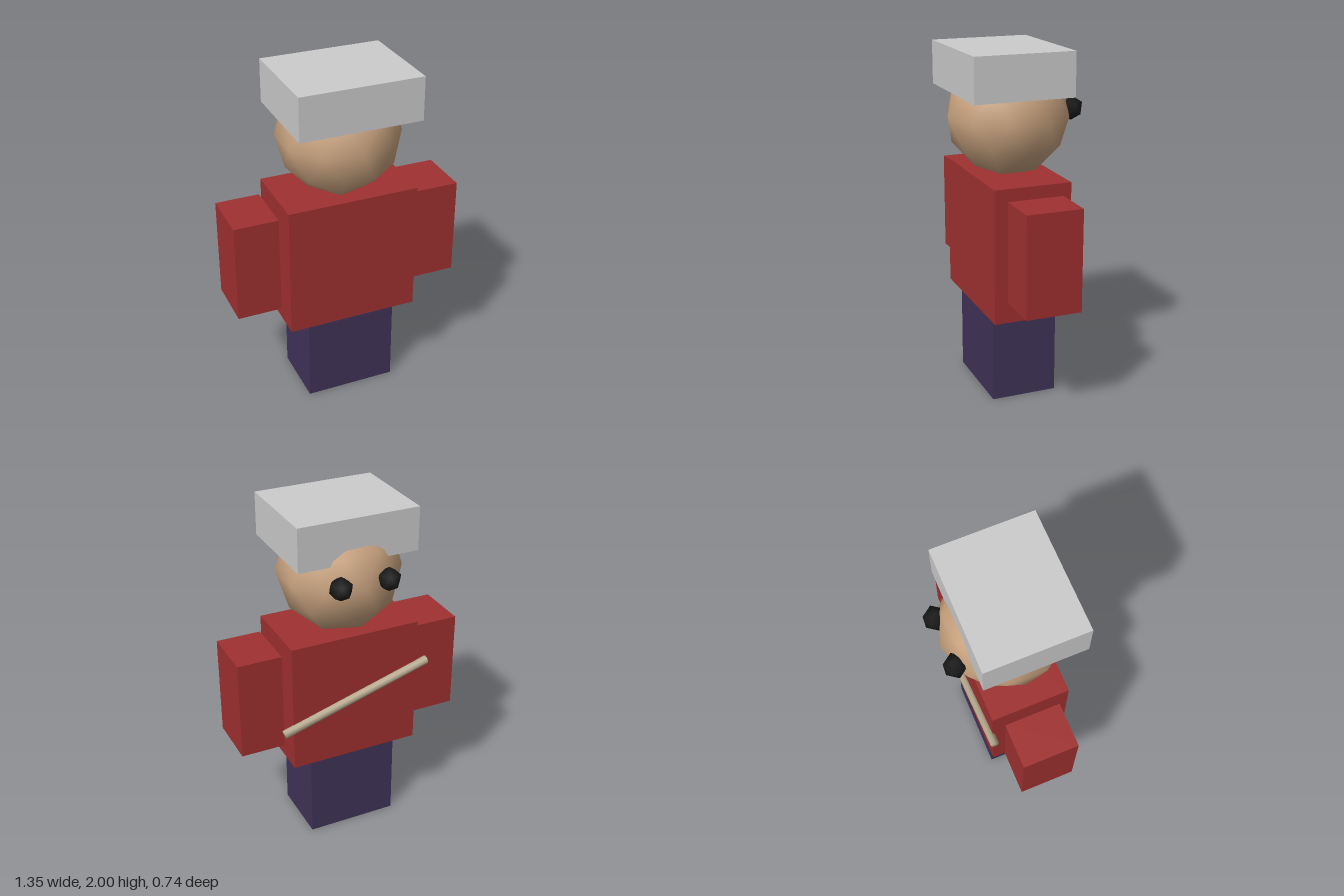
import * as THREE from 'three';
import { mergeVertices } from 'three/addons/utils/BufferGeometryUtils.js';

const material = (color) => new THREE.MeshStandardMaterial({ color });

// Ball made of triangles, standing on one corner, with smooth normals
function ball(radius, detail) {
  const g = new THREE.IcosahedronGeometry(radius, detail);
  g.rotateX(-Math.atan((1 + Math.sqrt(5)) / 2));
  g.rotateY(Math.PI / 2);
  return smooth(g);
}

// Share corners so that shading runs across every edge
function smooth(geometry) {
  geometry.deleteAttribute('uv');
  geometry.deleteAttribute('normal');
  const merged = mergeVertices(geometry, 1e-4);
  merged.computeVertexNormals();
  return merged;
}

export function createModel() {
  const model = new THREE.Group();
  model.name = 'blockFigure';

  const red = material(0xa03030);
  const navy = material(0x403359);
  const skin = material(0xcaa480);
  const black = material(0x181818);
  const wood = material(0xb8aa90);
  const grey = material(0xcccccc);

  const add = (name, geometry, mat, x, y, z) => {
    const mesh = new THREE.Mesh(geometry, mat);
    mesh.name = name;
    mesh.position.set(x, y, z);
    model.add(mesh);
    return mesh;
  };

  // Box given by its centre x, width and y and z ranges
  const addBox = (name, mat, x, width, [y0, y1], [z0, z1]) =>
    add(name, new THREE.BoxGeometry(width, y1 - y0, z1 - z0), mat, x, (y0 + y1) / 2, (z0 + z1) / 2);

  // Body
  addBox('legs', navy, 0, 0.536, [0, 0.52], [-0.177, 0.207]);
  addBox('torso', red, 0, 0.772, [0.52, 1.292], [-0.21, 0.24]);

  // Head and hat
  add('head', ball(0.353, 1), skin, 0, 1.615, 0.012);
  addBox('hat', grey, 0, 0.706, [1.75, 2], [-0.242, 0.335]);

  // Arms and the pair of balls on the back of the head
  for (const [side, s] of [['left', 1], ['right', -1]]) {
    addBox(side + 'Arm', red, s * 0.548, 0.257, [0.65, 1.23], [-0.148, 0.174]);
    add(side + 'Eye', ball(0.07, 0), black, s * 0.142, 1.652, -0.312);
  }

  // Slanted stick across the back
  const stick = add('stick', smooth(new THREE.CylinderGeometry(0.025, 0.025, 0.934, 8)), wood, 0, 0.907, -0.222);
  stick.rotation.z = Math.atan2(0.448, 0.133);

  return model;
}
